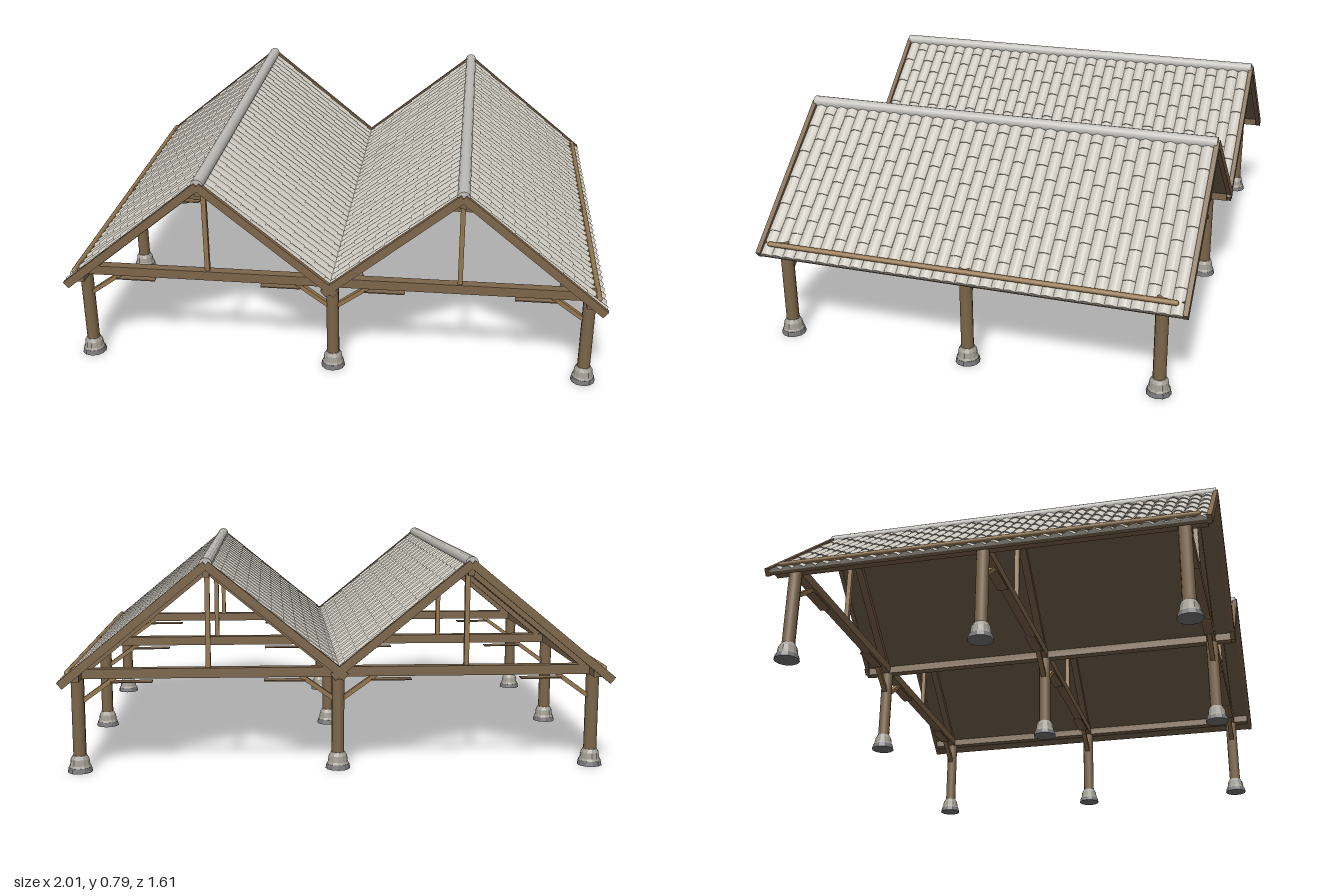
import * as THREE from 'three';

const mat = (name, color, extra = {}) => {
  const m = new THREE.MeshStandardMaterial({ color, ...extra });
  m.name = name;
  return m;
};

export function createModel() {
  const root = new THREE.Group();
  root.name = 'doubleGablePavilion';
  const timber = mat('timber brown', 0x7d664a);
  const lightTimber = mat('light timber', 0x94774f);
  const decking = mat('decking brown', 0x76634b);
  const tileMat = mat('pale roof tile', 0xcdc9bf, { side: THREE.DoubleSide });
  const capMat = mat('ridge grey', 0xbfbeb9);
  const stone = mat('stone grey', 0xa39f95, { flatShading: true });
  const slab = mat('dark stone', 0x77777a, { flatShading: true });

  const add = (parent, name, geo, material, x = 0, y = 0, z = 0) => {
    const m = new THREE.Mesh(geo, material);
    m.name = name;
    m.position.set(x, y, z);
    parent.add(m);
    return m;
  };
  const box = (parent, name, w, h, d, material, x, y, z) =>
    add(parent, name, new THREE.BoxGeometry(w, h, d), material, x, y, z);
  // Straight bar between two points in a plane of constant z
  const bar = (name, x1, y1, x2, y2, z, t, d, material) => {
    const m = box(root, name, Math.hypot(x2 - x1, y2 - y1), t, d, material, (x1 + x2) / 2, (y1 + y2) / 2, z);
    m.rotation.z = Math.atan2(y2 - y1, x2 - x1);
  };

  const postX = [-0.945, 0, 0.945], postZ = [-0.71, 0, 0.71];
  const ridgeX = 0.472, ridgeY = 0.765, slope = 0.82;
  const pitch = Math.atan(slope), cos = Math.cos(pitch);

  // Posts on stone footings
  const footing = new THREE.LatheGeometry(
    [[0.041, 0.018], [0.037, 0.026], [0.034, 0.048], [0.026, 0.062], [0, 0.062]].map(p => new THREE.Vector2(...p)), 12);
  const slabGeo = new THREE.CylinderGeometry(0.042, 0.046, 0.018, 12);
  const postGeo = new THREE.CylinderGeometry(0.024, 0.024, 0.3, 10);
  for (const x of postX) for (const z of postZ) {
    add(root, 'post', postGeo, timber, x, 0.205, z);
    add(root, 'footing', footing, stone, x, 0, z);
    add(root, 'footingSlab', slabGeo, slab, x, 0.009, z);
    // Knee braces and flat planks under the tie beam
    for (const s of [-1, 1]) {
      if (Math.abs(x + s * 0.2) > 1) continue;
      bar('kneeBrace', x + s * 0.015, 0.262, x + s * 0.14, 0.352, z, 0.016, 0.02, lightTimber);
      box(root, 'flatPlank', 0.15, 0.004, 0.04, timber, x + s * 0.195, 0.333, z);
    }
  }

  // Tie beams, wall plates and trusses
  for (const z of postZ) {
    box(root, 'tieBeam', 1.94, 0.036, 0.036, timber, 0, 0.365, z);
    for (const cx of [-ridgeX, ridgeX]) {
      box(root, 'kingPost', 0.018, 0.37, 0.018, lightTimber, cx, 0.565, z);
      for (const s of [-1, 1])
        bar('rafter', cx, ridgeY - 0.025, cx + s * 0.47, ridgeY - 0.025 - 0.47 * slope, z, 0.024, 0.03, timber);
    }
  }
  for (const x of postX) box(root, 'wallPlate', 0.036, 0.03, 1.58, timber, x, 0.362, 0);

  // One slope of barrel tiles: staggered arched courses with a closed lower lip
  function tiles(length) {
    const cols = 35, w = 1.58 / cols, course = 0.115, seg = 6, pos = [];
    const quad = (a, b, c, d) => pos.push(...a, ...b, ...c, ...a, ...c, ...d);
    for (let c = 0; c < cols; c++) {
      const z0 = -0.79 + c * w;
      const cuts = [0.012];
      for (let u = course * (c % 2 ? 0.5 : 1); u < length - 0.01; u += course) cuts.push(u);
      cuts.push(length);
      for (let r = 0; r + 1 < cuts.length; r++) {
        const pt = (k, u, lift) => [u, 0.001 + lift + 0.011 * Math.sin(Math.PI * k / seg), z0 + w * k / seg];
        for (let k = 0; k < seg; k++) {
          const a = pt(k, cuts[r], 0), b = pt(k + 1, cuts[r], 0);
          const e = pt(k + 1, cuts[r + 1], 0.004), d = pt(k, cuts[r + 1], 0.004);
          quad(a, b, e, d);
          const low = p => [p[0], r + 2 === cuts.length ? 0 : p[1] - 0.004, p[2]];
          quad(d, e, low(e), low(d));
        }
      }
    }
    const g = new THREE.BufferGeometry();
    g.setAttribute('position', new THREE.Float32BufferAttribute(pos, 3));
    g.computeVertexNormals();
    return g;
  }

  const outer = 0.522 / cos, inner = ridgeX / cos;
  const outerTiles = tiles(outer), innerTiles = tiles(inner);
  for (const cx of [-ridgeX, ridgeX]) {
    for (const s of [-1, 1]) {
      const isOuter = s * cx > 0, len = isOuter ? outer : inner;
      // Local x runs down the slope from the ridge
      const g = new THREE.Group();
      g.name = isOuter ? 'outerSlope' : 'innerSlope';
      g.position.set(cx, ridgeY, 0);
      g.rotation.set(0, s < 0 ? Math.PI : 0, -pitch);
      root.add(g);
      add(g, 'roofTiles', isOuter ? outerTiles : innerTiles, tileMat);
      box(g, 'roofDeck', len, 0.012, 1.58, decking, len / 2, -0.006, 0);
      const bl = isOuter ? outer : inner + 0.03;
      for (const z of [-0.798, 0.798])
        box(g, 'bargeBoard', bl, 0.03, 0.018, timber, bl / 2, 0, z);
      // Rounded rail above the eave
      if (isOuter) {
        const rail = add(g, 'eaveRail', new THREE.CapsuleGeometry(0.01, 1.52, 4, 10), lightTimber, 0.49 / cos, 0.017, 0);
        rail.rotation.x = Math.PI / 2;
      }
    }
    const cap = add(root, 'ridgeCap', new THREE.CylinderGeometry(0.023, 0.023, 1.6, 14), capMat, cx, ridgeY + 0.002, 0);
    cap.rotation.x = Math.PI / 2;
    box(root, 'ridgeBeam', 0.024, 0.03, 1.58, timber, cx, ridgeY - 0.03, 0);
  }
  return root;
}
